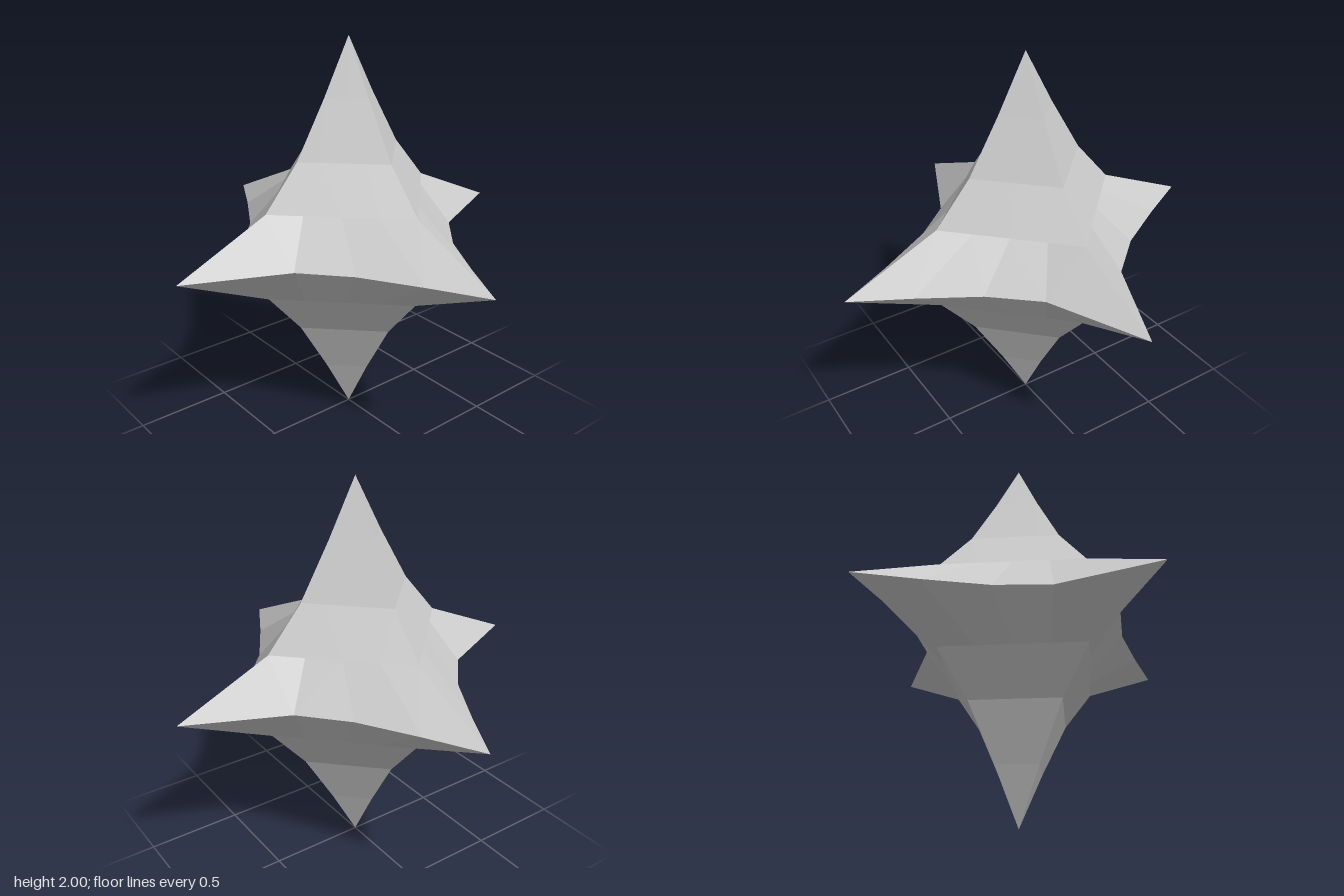
import * as THREE from 'three';

// Horizontal rings of one octant: height above the middle and radius.
const RINGS = [[1, 0], [0.72, 0.15], [0.44, 0.315], [0.22, 0.503]];
// Concave quarter outline at the middle height, from the +x tip to the +z tip.
const EQUATOR = [[0.992, 0], [0.715, 0.15], [0.435, 0.315], [0.22, 0.505], [0, 0.99]];

// Rows of points from the pole to the equator: straight diamond rings, then the concave outline.
function octantRows() {
  const rows = RINGS.map(([y, r]) =>
    EQUATOR.map((_, i) => new THREE.Vector3(r * (1 - i / 4), y, r * i / 4)));
  rows.push(EQUATOR.map(([x, z]) => new THREE.Vector3(x, 0, z)));
  return rows;
}

// Facets of one octant mirrored by the signs; every four-sided facet has a single normal.
function octantGeometry(sx, sy, sz) {
  const sign = new THREE.Vector3(sx, sy, sz);
  const rows = octantRows().map(row => row.map(p => p.multiply(sign)));
  const flip = sx * sy * sz < 0;
  const positions = [], normals = [];
  const addTriangle = (a, b, c, n) => {
    for (const p of flip ? [a, c, b] : [a, b, c]) {
      positions.push(p.x, p.y, p.z);
      normals.push(n.x, n.y, n.z);
    }
  };
  for (let j = 0; j < rows.length - 1; j++) {
    for (let i = 0; i < 4; i++) {
      const a = rows[j][i], b = rows[j][i + 1];
      const c = rows[j + 1][i + 1], d = rows[j + 1][i];
      const n = j === 0
        ? c.clone().sub(a).cross(d.clone().sub(a))
        : b.clone().sub(d).cross(c.clone().sub(a));
      n.normalize();
      if (n.dot(c.clone().add(d)) < 0) n.negate();
      if (j === 0) {
        addTriangle(a, c, d, n);
      } else if (a.distanceTo(c) <= b.distanceTo(d)) {
        addTriangle(a, b, c, n);
        addTriangle(a, c, d, n);
      } else {
        addTriangle(a, b, d, n);
        addTriangle(b, c, d, n);
      }
    }
  }
  const geometry = new THREE.BufferGeometry();
  geometry.setAttribute('position', new THREE.Float32BufferAttribute(positions, 3));
  geometry.setAttribute('normal', new THREE.Float32BufferAttribute(normals, 3));
  return geometry;
}

export function createModel() {
  const model = new THREE.Group();
  model.name = 'sixPointedStar';
  const material = new THREE.MeshStandardMaterial({ color: 0xcccccc });

  // Eight mirrored octants close the star.
  for (const sy of [1, -1]) for (const sz of [1, -1]) for (const sx of [1, -1]) {
    const octant = new THREE.Mesh(octantGeometry(sx, sy, sz), material);
    octant.name = (sy > 0 ? 'upper' : 'lower') + (sz > 0 ? 'Front' : 'Back') + (sx > 0 ? 'Left' : 'Right') + 'Facets';
    octant.position.y = 1;
    model.add(octant);
  }
  return model;
}
